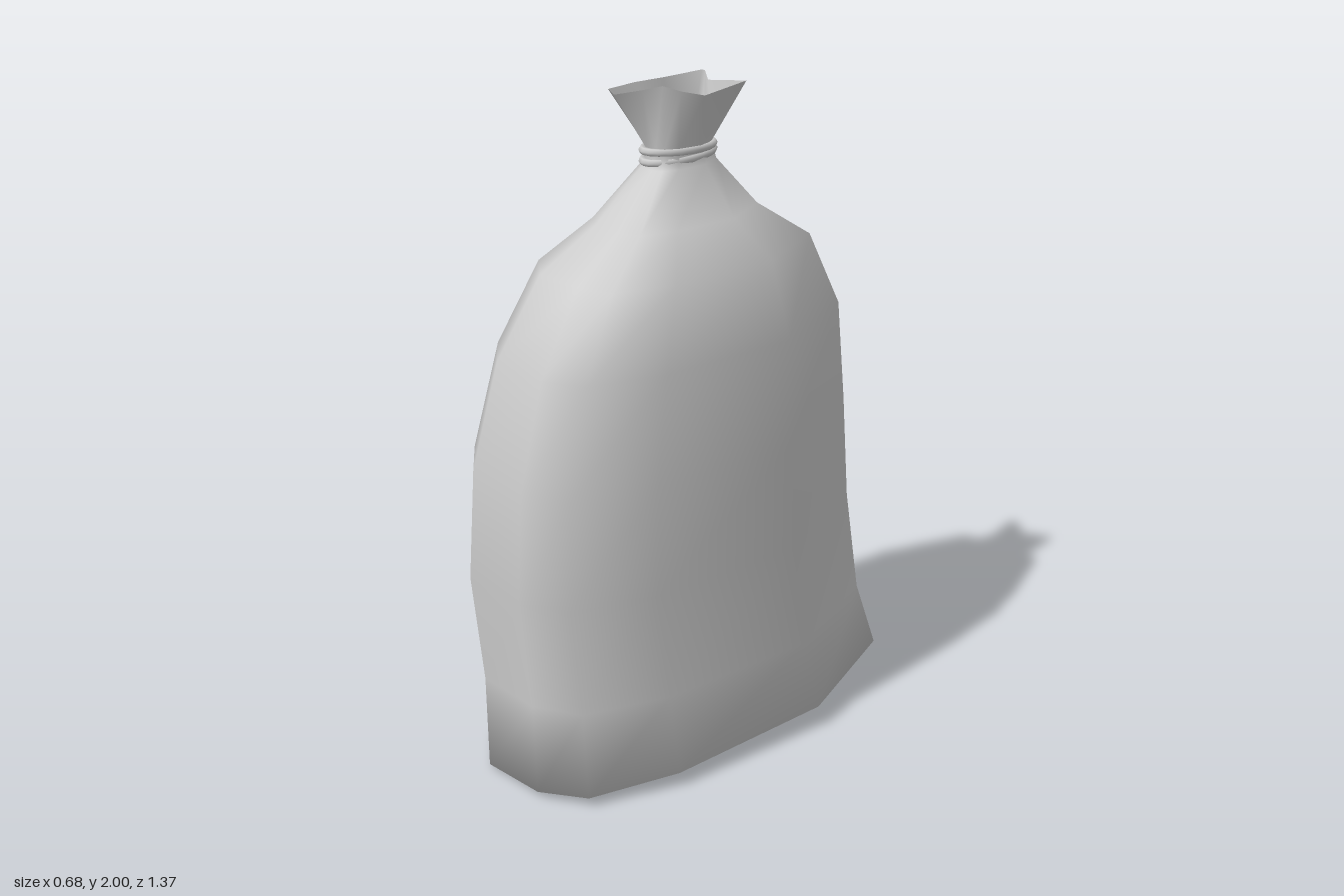
import * as THREE from 'three';

// Unit outline of the sack, [x, z], running from the back round by the left side
const outline = [
  [0, -1], [0.47, -0.95], [1, -0.36], [0.98, 0.43], [0.75, 0.83], [0.36, 0.96],
  [-0.3, 0.99], [-0.75, 0.83], [-0.98, 0.37], [-1, -0.38], [-0.8, -0.77], [-0.42, -0.93],
];

// Levels: [y, xMin, xMax, zMin, zMax]
const levels = [
  [0.30, -0.34, 0.312, -0.62, 0.655],
  [0.64, -0.34, 0.315, -0.56, 0.69],
  [0.97, -0.322, 0.31, -0.53, 0.67],
  [1.28, -0.28, 0.285, -0.5, 0.59],
  [1.51, -0.222, 0.245, -0.385, 0.455],
  [1.615, -0.155, 0.135, -0.23, 0.27],
  [1.76, -0.075, 0.06, -0.1, 0.13],
  [1.81, -0.058, 0.05, -0.085, 0.115],
];

// Crumpled open mouth, [x, y, z], in the same order as the outline
const mouth = [
  [-0.02, 1.97, -0.1], [0.085, 1.98, -0.15], [0.115, 1.97, 0.02], [0.09, 1.985, 0.08],
  [0.06, 2, 0.12], [0.03, 1.99, 0.165], [-0.01, 1.98, 0.23], [-0.105, 1.97, 0.18],
  [-0.09, 1.98, 0.1], [-0.07, 1.985, 0.02], [-0.11, 1.975, -0.15], [-0.065, 1.985, -0.125],
];

function ring([y, x0, x1, z0, z1]) {
  return outline.map(([u, v]) => [
    (x0 + x1) / 2 + u * (x1 - x0) / 2, y, (z0 + z1) / 2 + v * (z1 - z0) / 2,
  ]);
}

function loft(rings, bottom) {
  const n = outline.length;
  const points = [...rings.flat(), bottom];
  const index = [];
  for (let j = 0; j < n; j++) {
    const k = (j + 1) % n;
    index.push(rings.length * n, j, k);
    for (let i = 0; i < rings.length - 1; i++) {
      const a = i * n + j, b = i * n + k;
      index.push(a, a + n, b, b, a + n, b + n);
    }
  }
  const geometry = new THREE.BufferGeometry();
  geometry.setAttribute('position', new THREE.Float32BufferAttribute(points.flat(), 3));
  geometry.setIndex(index);
  geometry.computeVertexNormals();
  return geometry;
}

export function createModel() {
  const group = new THREE.Group();
  const cloth = new THREE.MeshStandardMaterial({ color: 0xcccccc, side: THREE.DoubleSide });
  const cord = new THREE.MeshStandardMaterial({ color: 0xcccccc });

  // Bottom seam: slightly tilted, lifted at the back and left corners
  const seam = ring([0, -0.335, 0.335, -0.69, 0.66]).map(([x, , z]) =>
    [x, Math.max(0.012, 0.047 + 0.045 * x - 0.045 * z), z]);
  // Sagging underside
  const underside = ring([0.004, -0.22, 0.16, -0.36, 0.36]).map(([x, y, z]) =>
    [x, y + Math.max(0, 0.05 * x - 0.03 * z), z]);

  const sack = new THREE.Mesh(
    loft([underside, seam, ...levels.map(ring), mouth], [-0.03, 0.001, 0]), cloth);
  sack.name = 'sack';
  group.add(sack);

  // Two turns of cord round the neck
  [[1.782, 0.03], [1.805, -0.035]].forEach(([y, tilt], i) => {
    const geometry = new THREE.TorusGeometry(1, 0.11, 6, 20).rotateX(Math.PI / 2);
    geometry.scale(0.062, 0.1, 0.116);
    const tie = new THREE.Mesh(geometry, cord);
    tie.position.set(-0.008, y, 0.014);
    tie.rotation.x = tilt;
    tie.name = 'neckTie' + (i + 1);
    group.add(tie);
  });
  return group;
}
